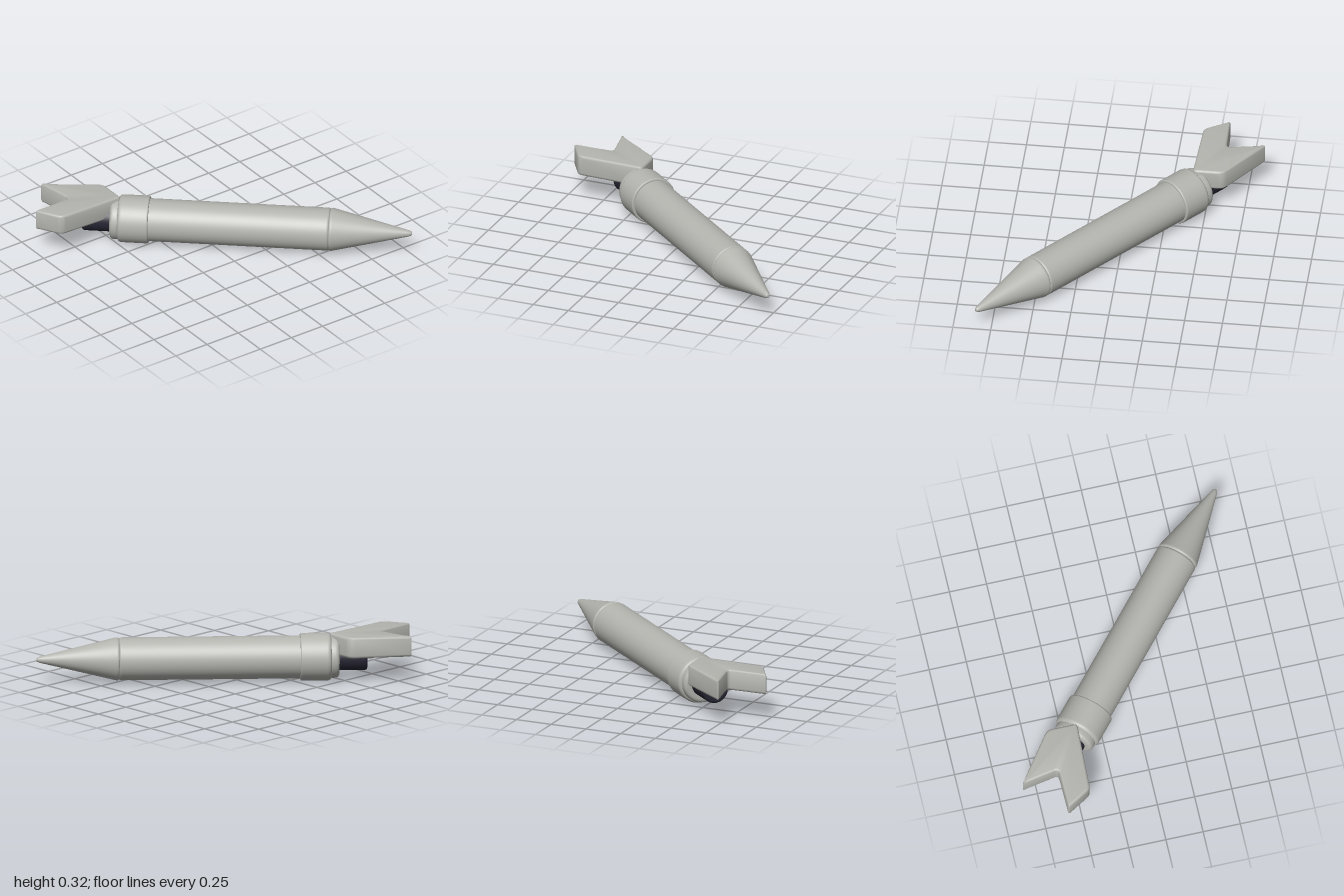
import * as THREE from 'three';
import { toCreasedNormals } from 'three/addons/utils/BufferGeometryUtils.js';

// Replace each corner of a profile with a small curve; corners are [x, y, rounding]
function roundCorners(corners, closed, steps = 6) {
  const n = corners.length, out = [];
  corners.forEach(([x, y, r], i) => {
    const p = new THREE.Vector2(x, y);
    if (!r || (!closed && (i === 0 || i === n - 1))) { out.push(p); return; }
    const toward = (j) => {
      const q = new THREE.Vector2(corners[j][0], corners[j][1]).sub(p);
      return q.setLength(Math.min(r, q.length() * 0.49)).add(p);
    };
    const curve = new THREE.QuadraticBezierCurve(toward((i + n - 1) % n), p, toward((i + 1) % n));
    out.push(...curve.getPoints(steps));
  });
  return out;
}

export function createModel() {
  const model = new THREE.Group();
  model.name = 'rocket';
  const hull = new THREE.MeshStandardMaterial({ color: 0xb4b4af });
  hull.name = 'light grey';
  const dark = new THREE.MeshStandardMaterial({ color: 0x272634 });
  dark.name = 'dark blue grey';

  // Turned parts share one axis, lying flat and pointing at the nose
  const axis = new THREE.Group();
  axis.name = 'fuselage';
  axis.position.set(-0.2875, 0.158, 0.3);
  axis.quaternion.setFromUnitVectors(
    new THREE.Vector3(0, 1, 0), new THREE.Vector3(0.657, 0, -0.754).normalize());
  model.add(axis);

  const turned = (name, material, profile) => {
    const mesh = new THREE.Mesh(new THREE.LatheGeometry(roundCorners(profile, false), 64), material);
    mesh.name = name;
    axis.add(mesh);
  };

  turned('nozzle', dark, [[0, -0.44], [0.091, -0.44, 0.02], [0.091, -0.2, 0.005], [0, -0.2]]);
  turned('rearFlange', hull, [[0, -0.256], [0.14, -0.256, 0.03], [0.14, -0.195, 0.015], [0, -0.195]]);
  turned('collar', hull, [[0, -0.205], [0.157, -0.205, 0.03], [0.157, 0, 0.012], [0, 0]]);
  turned('body', hull, [[0, -0.1], [0.141, -0.1, 0.01], [0.141, 1.19, 0.018], [0, 1.19]]);
  turned('noseCone', hull, [[0, 1.186], [0.146, 1.186, 0.024], [0.016, 1.728, 0.04], [0, 1.728]]);

  // Forked tail plate with soft edges
  const outline = roundCorners([
    [-0.615, 0.44, 0.035], [-0.412, 0.44, 0.025], [-0.43, 0.905, 0.03],
    [-0.598, 1.005, 0.02], [-0.604, 0.728, 0.03], [-0.86, 0.776, 0.02],
  ], true, 5);
  const fin = new THREE.ExtrudeGeometry(new THREE.Shape(outline), {
    depth: 0.104, bevelThickness: 0.018, bevelSize: 0.016, bevelOffset: -0.016, bevelSegments: 4,
  });
  fin.rotateX(Math.PI / 2);
  const tail = new THREE.Mesh(toCreasedNormals(fin, 0.6), hull);
  tail.name = 'tailFin';
  tail.position.y = 0.302;
  model.add(tail);

  return model;
}
